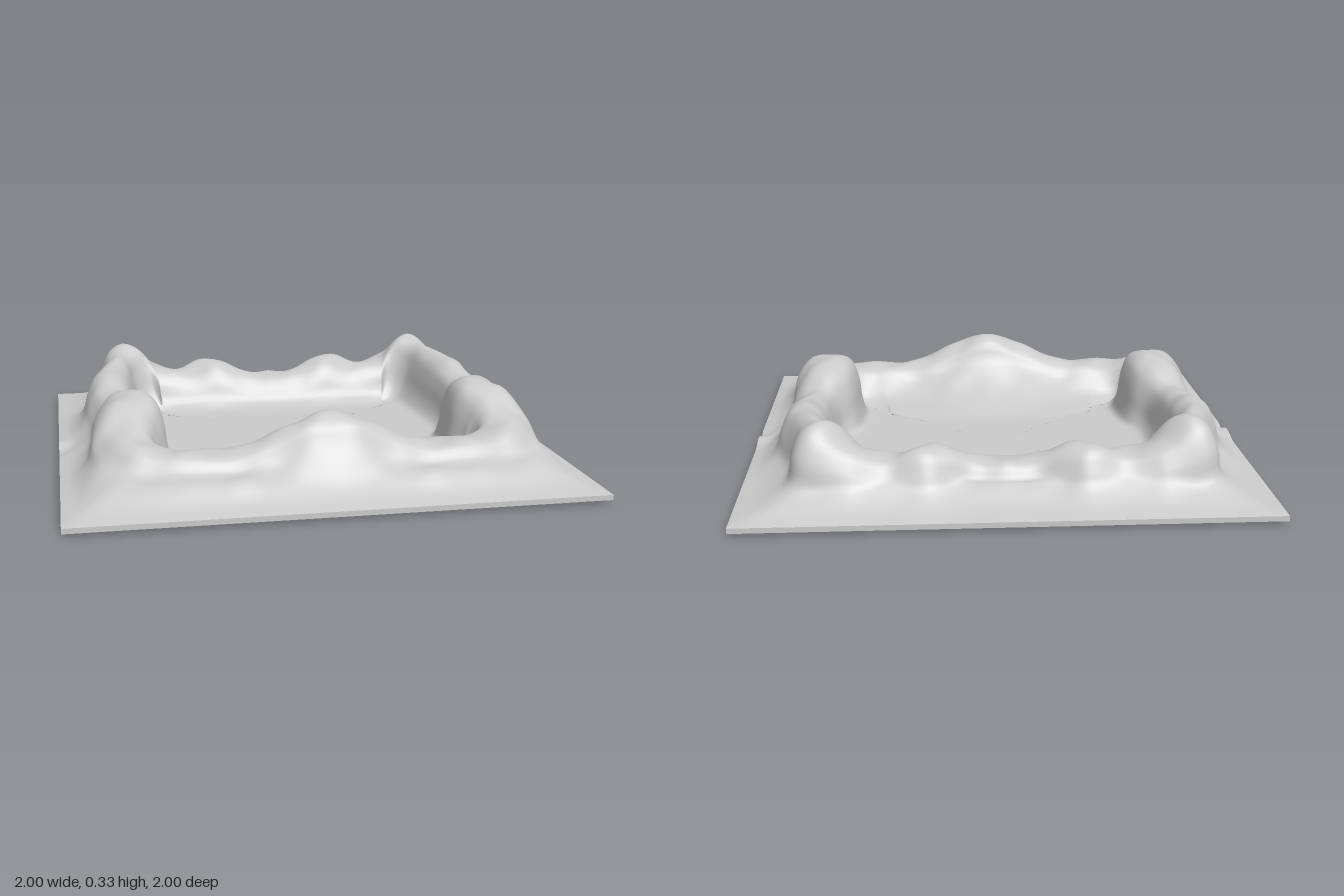
import * as THREE from 'three';

// Half of the ridge, from back centre round the +x side to front centre.
// crest x, crest z, border x, border z, height, outer lip, inner lip, inner foot
const HALF = [
  [0, -0.71, 0, -1, 0.17, 0.08, 0.12, 0.22],
  [0.14, -0.71, 0.14, -1, 0.18, 0.07, 0.12, 0.21],
  [0.28, -0.74, 0.30, -1, 0.235, 0.09, 0.14, 0.22],
  [0.42, -0.72, 0.45, -1, 0.195, 0.09, 0.12, 0.21],
  [0.56, -0.73, 0.62, -1, 0.235, 0.10, 0.13, 0.20],
  [0.68, -0.71, 1, -1, 0.32, 0.12, 0.12, 0.21],
  [0.72, -0.57, 1, -0.60, 0.29, 0.08, 0.07, 0.14],
  [0.76, -0.38, 1, -0.40, 0.28, 0.10, 0.09, 0.15],
  [0.76, -0.20, 1, -0.20, 0.26, 0.11, 0.08, 0.14],
  [0.75, 0, 1, 0, 0.235, 0.10, 0.08, 0.13],
  [0.69, 0.13, 1, 0.15, 0.30, 0.16, 0.08, 0.12],
  [0.68, 0.32, 1, 0.34, 0.32, 0.18, 0.09, 0.13],
  [0.71, 0.46, 1, 0.53, 0.25, 0.16, 0.09, 0.16],
  [0.67, 0.59, 1, 1, 0.20, 0.15, 0.09, 0.18],
  [0.50, 0.66, 0.55, 1, 0.18, 0.11, 0.12, 0.29],
  [0.30, 0.67, 0.30, 1, 0.195, 0.10, 0.12, 0.38],
  [0.15, 0.67, 0.15, 1, 0.27, 0.10, 0.11, 0.40],
  [0, 0.66, 0, 1, 0.31, 0.12, 0.10, 0.40],
];
const MIRROR = HALF.slice(1, -1).reverse().map(([x, z, ex, ...r]) => [-x, z, -ex, ...r]);
const STATIONS = [...HALF, ...MIRROR];
const STEPS = 8, COLS = STATIONS.length * STEPS, PROFILE = 40, FLOOR = 6;
const THICK = 0.02;

const { lerp, smoothstep } = THREE.MathUtils;

function cubic(a, b, c, d, t) {
  return b + 0.5 * t * (c - a + t * (2 * a - 5 * b + 4 * c - d + t * (3 * (b - c) + d - a)));
}

// Station at any place round the ring: smooth ridge, straight border
function stationAt(i) {
  const n = STATIONS.length, k = Math.floor(i / STEPS), t = (i % STEPS) / STEPS;
  const [a, b, c, d] = [-1, 0, 1, 2].map(o => STATIONS[(k + o + n) % n]);
  return b.map((v, j) => j === 2 || j === 3 ? lerp(v, c[j], t) : cubic(a[j], v, c[j], d[j], t));
}

// Small mirrored lumps that fade out at ground level
function lumps(x, y, z) {
  const m = Math.abs(x);
  const n = Math.sin(m * 21 + z * 8) * Math.sin(z * 19 - m * 6) + 0.5 * Math.sin(m * 37 + 1) * Math.sin(z * 31);
  return 0.008 * n * smoothstep(y, 0.04, 0.15);
}

// Border height, with a small kink halfway along each side
function rimHeight(x, z) {
  if (Math.abs(x) < 1) return 0.03;
  return 0.03 + 0.02 * Math.exp(-(((z + 0.04) / 0.07) ** 2)) - 0.015 * Math.exp(-(((z - 0.05) / 0.04) ** 2));
}

// One cross-section running from the border over the ridge to the middle
function section(i) {
  const [x, z, ex, ez, h, a, b, c] = stationAt(i);
  const len = Math.hypot(ex - x, ez - z), dx = (ex - x) / len, dz = (ez - z) / len;
  const spread = 0.025 + 0.05 * smoothstep(dz, 0.2, 0.9); // gentler foot on the front
  const curve = new THREE.CatmullRomCurve3([
    [len, rimHeight(ex, ez)],
    [lerp(a + spread, len, 0.5), 0.052],
    [a + spread, 0.105],
    [a, h * 0.66],
    [a * 0.6, h * 0.92],
    [0, h],
    [-b * 0.65, h * 0.9],
    [-b, h * 0.66],
    [-lerp(b, c, 0.4), h * 0.33],
    [-c, 0.038],
    [-c - 0.06, 0.03],
  ].map(([d, y]) => new THREE.Vector3(x + dx * d, y, z + dz * d)));
  const pts = curve.getPoints(PROFILE);
  pts.forEach(p => { p.y += lumps(p.x, p.y, p.z); });
  const last = pts[PROFILE], middle = new THREE.Vector3(0, 0.03, -0.1);
  for (let k = 1; k <= FLOOR; k++) pts.push(last.clone().lerp(middle, k / FLOOR));
  return pts;
}

// Closed strip of quads joining equal columns of points
function loft(columns, flip) {
  const rows = columns[0].length, n = columns.length, index = [];
  for (let i = 0; i < n; i++) {
    for (let j = 0; j < rows - 1; j++) {
      const p = i * rows + j, q = ((i + 1) % n) * rows + j;
      if (flip) index.push(p, q, p + 1, q, q + 1, p + 1);
      else index.push(p, p + 1, q, q, p + 1, q + 1);
    }
  }
  const g = new THREE.BufferGeometry().setFromPoints(columns.flat());
  g.setIndex(index);
  g.computeVertexNormals();
  return g;
}

export function createModel() {
  const group = new THREE.Group();
  group.name = 'walledBasinTerrain';
  const material = new THREE.MeshStandardMaterial({ color: 0xcccccc, side: THREE.DoubleSide });
  const add = (name, geometry) => {
    const mesh = new THREE.Mesh(geometry, material);
    mesh.name = name;
    group.add(mesh);
  };

  const top = Array.from({ length: COLS }, (_, i) => section(i));
  const under = top.map(col => col.map(p => new THREE.Vector3(p.x, p.y - THICK, p.z)));

  // Ground sheet with its ridge and floor, the hollow underside and the thin border
  add('terrainSurface', loft(top, false));
  add('terrainUnderside', loft(under, true));
  const edge = loft(top.map((col, i) => [under[i][0], col[0]]), false).toNonIndexed();
  edge.computeVertexNormals();
  add('borderEdge', edge);
  return group;
}
